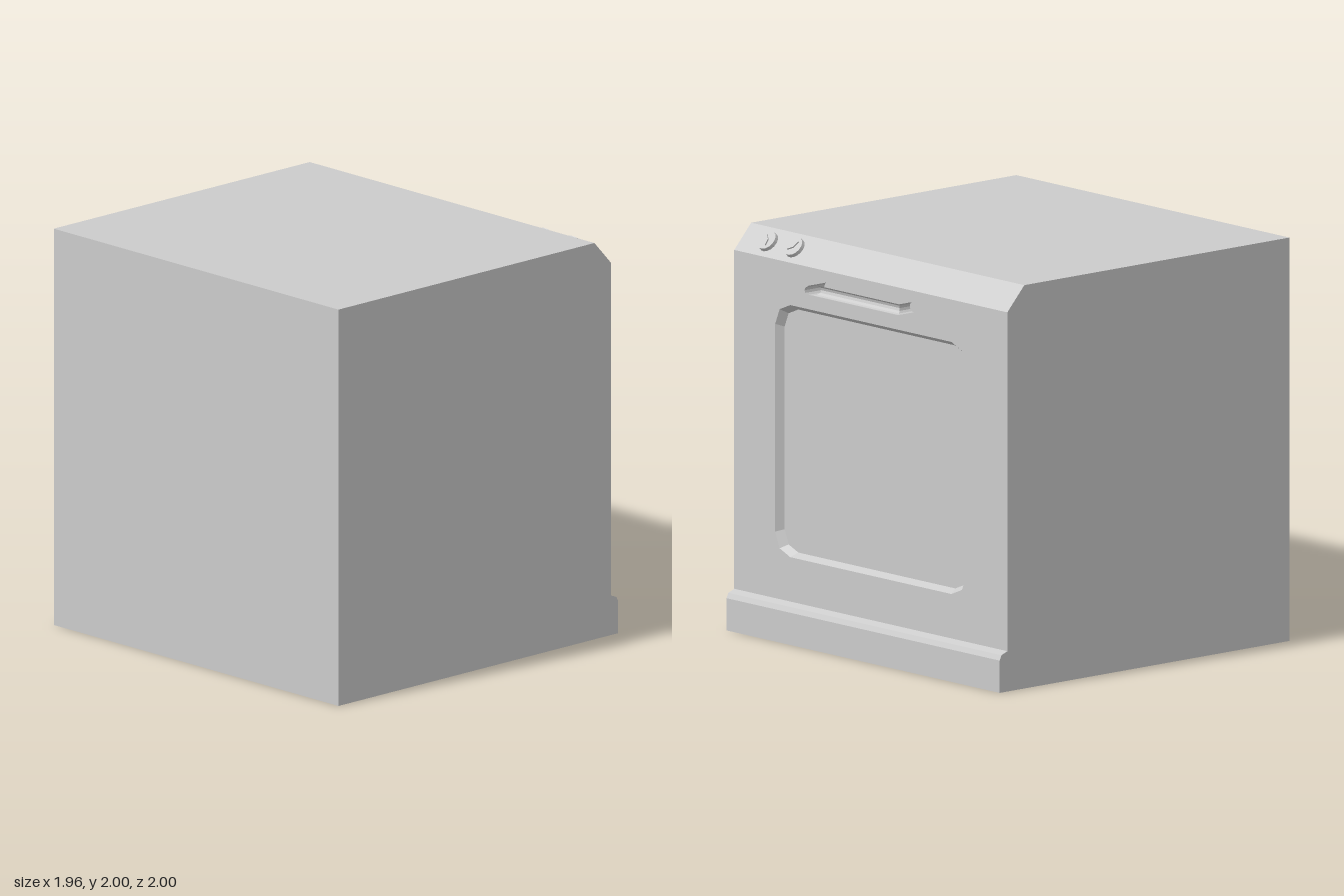
import * as THREE from 'three';

const material = new THREE.MeshStandardMaterial({ color: 0xcccccc });
const flatMaterial = new THREE.MeshStandardMaterial({ color: 0xcccccc, flatShading: true });
const FRONT = 0.85;   // x of the door face
const DEPTH = 0.04;   // depth of the window recess

function addMesh(parent, name, geometry, mat = material) {
  const mesh = new THREE.Mesh(geometry, mat);
  mesh.name = name;
  parent.add(mesh);
  return mesh;
}

const toShape = (pairs) => new THREE.Shape(pairs.map(([x, y]) => new THREE.Vector2(x, y)));
const extrude = (shape, depth) => new THREE.ExtrudeGeometry(shape, { depth, bevelEnabled: false });

// Counter-clockwise rectangle outline with two-facet rounded corners
function windowLoop(halfWidth, bottom, top, r) {
  const corners = [
    [halfWidth - r, bottom + r, -90], [halfWidth - r, top - r, 0],
    [-halfWidth + r, top - r, 90], [-halfWidth + r, bottom + r, 180],
  ];
  return corners.flatMap(([cx, cy, start]) => [0, 45, 90].map((step) => {
    const a = THREE.MathUtils.degToRad(start + step);
    return new THREE.Vector2(cx + r * Math.cos(a), cy + r * Math.sin(a));
  }));
}

// Sloped band joining an outer loop at z = depth to an inner loop at z = 0
function bandGeometry(outer, inner, depth) {
  const positions = [];
  outer.forEach((o, i) => {
    const j = (i + 1) % outer.length;
    const p = [o.x, o.y, depth], q = [outer[j].x, outer[j].y, depth];
    const s = [inner[j].x, inner[j].y, 0.001], t = [inner[i].x, inner[i].y, 0.001];
    positions.push(...p, ...q, ...s, ...p, ...s, ...t);
  });
  const geometry = new THREE.BufferGeometry();
  geometry.setAttribute('position', new THREE.Float32BufferAttribute(positions, 3));
  geometry.computeVertexNormals();
  return geometry;
}

// U-shaped bar with mitred corners, swept through four rings
function handleGeometry() {
  const sides = 12, y = 1.8, z = 0.313, rz = 0.027, xc = 0.948, rx = 0.032, ry = 0.026;
  const rings = [[0.83, 0, 1], [xc, rx, 1], [xc, rx, -1], [0.83, 0, -1]];
  const positions = [], index = [];
  for (const [x, spread, side] of rings) {
    for (let i = 0; i < sides; i++) {
      const a = (i / sides) * Math.PI * 2, out = Math.cos(a);
      positions.push(x + out * spread, y + ry * Math.sin(a), side * (z + out * rz));
    }
  }
  for (let r = 0; r < rings.length - 1; r++) {
    for (let i = 0; i < sides; i++) {
      const a = r * sides + i, b = r * sides + (i + 1) % sides;
      index.push(a, b, a + sides, b, b + sides, a + sides);
    }
  }
  const geometry = new THREE.BufferGeometry();
  geometry.setAttribute('position', new THREE.Float32BufferAttribute(positions, 3));
  geometry.setIndex(index);
  return geometry.toNonIndexed();
}

// Dial with a raised diamond pointer, facing local +z
function makeKnob(name, angle) {
  const knob = new THREE.Group();
  knob.name = name;
  const dial = new THREE.CylinderGeometry(0.052, 0.056, 0.03, 16).rotateX(Math.PI / 2);
  addMesh(knob, 'dial', dial, flatMaterial);
  const diamond = toShape([[0, -0.034], [0.012, 0], [0, 0.034], [-0.012, 0]]);
  addMesh(knob, 'pointer', extrude(diamond, 0.008)).position.z = 0.014;
  knob.rotation.order = 'YXZ';
  knob.rotation.set(-Math.atan2(0.11, 0.12), Math.PI / 2, angle);
  return knob;
}

export function createModel() {
  const model = new THREE.Group();
  model.name = 'oven';

  // Cabinet side profile, with plinth, seat for the door and slanted control panel
  const profile = toShape([
    [-0.98, 0], [0.9, 0], [0.9, 0.16], [0.888, 0.185], [FRONT, 0.2],
    [FRONT - DEPTH, 0.2], [FRONT - DEPTH, 1.88], [FRONT, 1.88], [0.74, 2], [-0.98, 2],
  ]);
  addMesh(model, 'cabinet', extrude(profile, 2).translate(0, 0, -1));

  // Door plate with its window opening
  const door = new THREE.Group();
  door.name = 'door';
  door.position.x = FRONT - DEPTH;
  door.rotation.y = Math.PI / 2;
  model.add(door);
  const outer = windowLoop(0.7, 0.42, 1.67, 0.11);
  const inner = windowLoop(0.675, 0.44, 1.645, 0.1);
  const plate = toShape([[-1, 0.2], [1, 0.2], [1, 1.88], [-1, 1.88]]);
  plate.holes.push(new THREE.Path(outer));
  addMesh(door, 'doorPlate', extrude(plate, DEPTH));
  addMesh(door, 'windowBevel', bandGeometry(outer, inner, DEPTH));
  addMesh(door, 'windowPane', new THREE.ShapeGeometry(new THREE.Shape(inner)).translate(0, 0, 0.001));

  // Handle
  const handle = handleGeometry();
  handle.computeVertexNormals();
  addMesh(model, 'handle', handle, flatMaterial);

  // Control knobs on the slanted panel
  [[0.81, 0.5], [0.615, -0.7]].forEach(([z, angle], i) => {
    const knob = makeKnob(`knob${i + 1}`, angle);
    knob.position.set(0.797, 1.943, z);
    model.add(knob);
  });

  return model;
}
